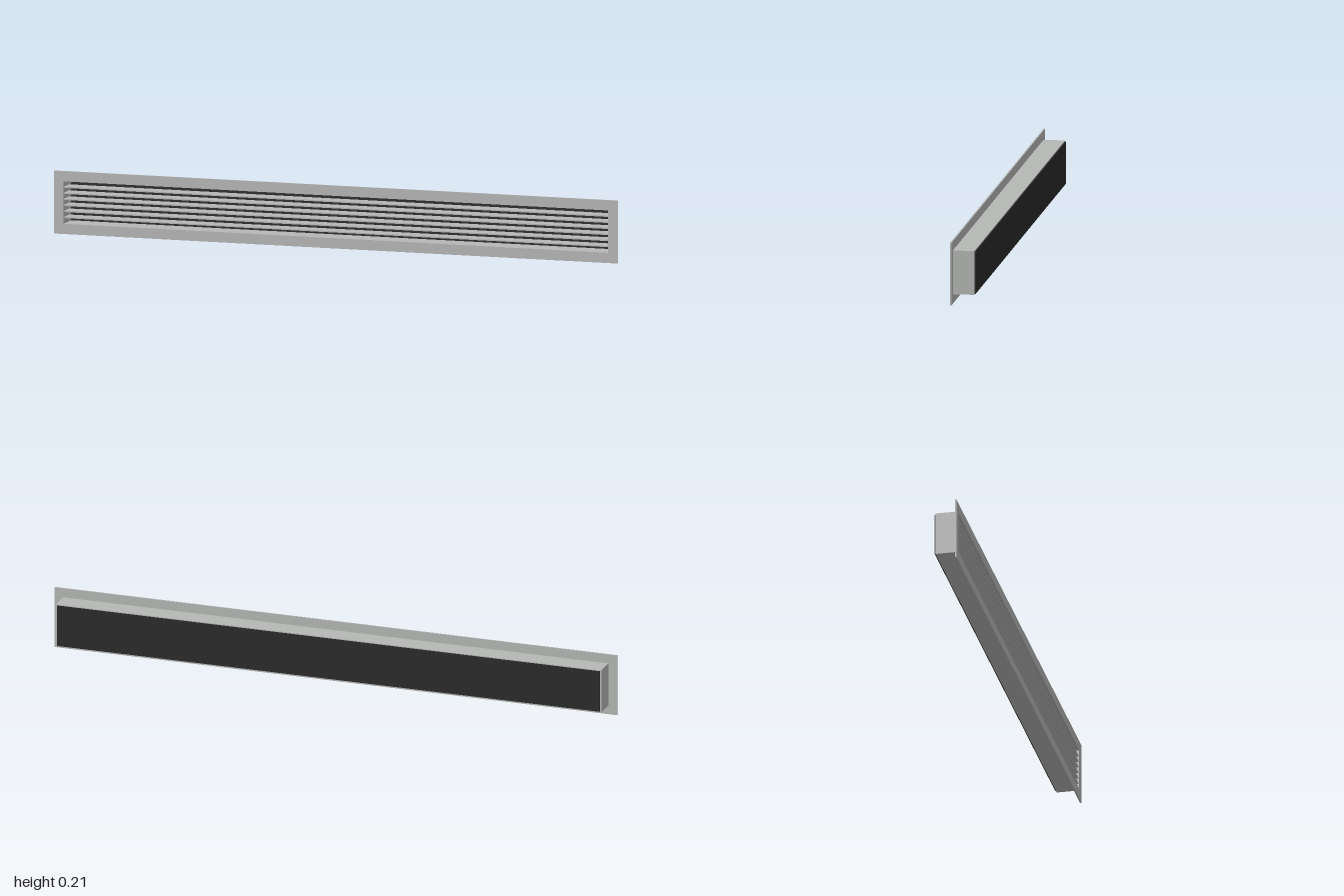
import * as THREE from 'three';

export function createModel() {
  const group = new THREE.Group();
  group.name = 'linearGrille';
  const metal = new THREE.MeshStandardMaterial({ color: 0xb6b8b6 });
  metal.name = 'satin grey metal';
  const dark = new THREE.MeshStandardMaterial({ color: 0x2a2a2a });
  dark.name = 'dark backing';

  const midY = 0.107;

  function add(name, geometry, material, x, y, z) {
    const mesh = new THREE.Mesh(geometry, material);
    mesh.name = name;
    mesh.position.set(x, y, z);
    group.add(mesh);
  }

  function rectangle(Type, w, h) {
    const r = new Type();
    r.moveTo(-w / 2, -h / 2);
    r.lineTo(w / 2, -h / 2);
    r.lineTo(w / 2, h / 2);
    r.lineTo(-w / 2, h / 2);
    r.closePath();
    return r;
  }

  // Rectangular ring extruded towards +z
  function ring(w, h, holeW, holeH, depth) {
    const shape = rectangle(THREE.Shape, w, h);
    shape.holes.push(rectangle(THREE.Path, holeW, holeH));
    return new THREE.ExtrudeGeometry(shape, { depth, bevelEnabled: false });
  }

  // Wall flange and the recessed collar behind it
  add('flange', ring(2, 0.214, 1.93, 0.144, 0.005), metal, 0, midY, 0.036);
  add('collar', ring(1.94, 0.15, 1.93, 0.144, 0.073), metal, 0, midY, -0.037);

  // Backing panel closing the collar
  add('backing', new THREE.BoxGeometry(1.93, 0.144, 0.004), dark, 0, midY, -0.039);

  // Horizontal louvre blades
  const blades = 6;
  const pitch = 0.144 / (blades + 1);
  for (let i = 1; i <= blades; i++) {
    const y = midY - 0.072 + i * pitch;
    add('blade' + i, new THREE.BoxGeometry(1.93, 0.004, 0.055), metal, 0, y, 0.0105);
  }
  return group;
}
